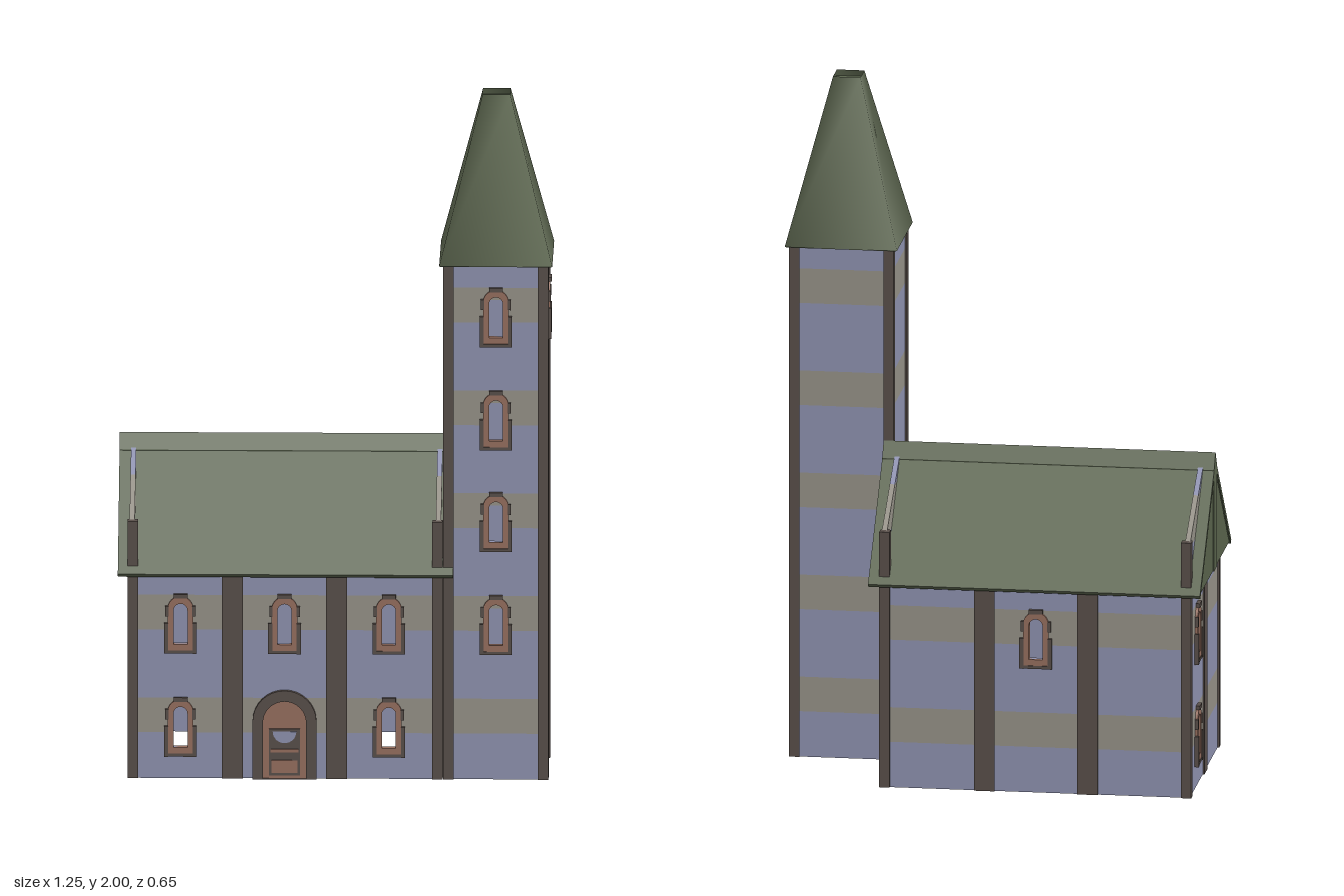
import * as THREE from 'three';

const mat = (name, color, side = THREE.FrontSide) => {
  const m = new THREE.MeshStandardMaterial({ color, side });
  m.name = name;
  return m;
};
const blue = mat('blue plaster', 0x9094b2);
const beige = mat('beige band', 0x98948a);
const green = mat('green roof', 0x5b654e, THREE.DoubleSide);
const brown = mat('dark brown stone', 0x5a504b);
const clay = mat('clay trim', 0x987060);

const THICK = 0.015;
const BANDS = [0, 1, 2, 3, 4].map(i => [0.135 + 0.304 * i, 0.238 + 0.304 * i]);
const inBand = y => BANDS.some(([a, b]) => y > a && y < b);

function add(parent, name, geo, material, x = 0, y = 0, z = 0) {
  const m = new THREE.Mesh(geo, material);
  m.name = name;
  m.position.set(x, y, z);
  parent.add(m);
  return m;
}

// box given by its minimum and maximum corners
function box(parent, name, material, x0, x1, y0, y1, z0, z1) {
  return add(parent, name, new THREE.BoxGeometry(x1 - x0, y1 - y0, z1 - z0), material,
    (x0 + x1) / 2, (y0 + y1) / 2, (z0 + z1) / 2);
}

// outline with straight sides and a round top
function arch(half, y0, y1, Type = THREE.Shape) {
  const s = new Type();
  s.moveTo(-half, y0);
  s.lineTo(half, y0);
  s.lineTo(half, y1 - half);
  s.absarc(0, y1 - half, half, 0, Math.PI, false);
  s.closePath();
  return s;
}

const extrude = (shape, depth) =>
  new THREE.ExtrudeGeometry(shape, { depth, bevelEnabled: false, curveSegments: 8 });

// [z, y] cross-section swept along x
function sweepX(parent, name, material, pts, x0, x1) {
  const shape = new THREE.Shape(pts.map(([z, y]) => new THREE.Vector2(-z, y)));
  const geo = extrude(shape, x1 - x0).rotateY(Math.PI / 2);
  return add(parent, name, geo, material, x0);
}

// arched window surround with open centre
function windowFrame(parent, x, y) {
  const g = new THREE.Group();
  g.name = 'window';
  g.position.set(x, y, 0);
  const ring = arch(0.037, -0.078, 0.083);
  ring.holes.push(arch(0.02, -0.058, 0.062, THREE.Path));
  add(g, 'windowSurround', extrude(ring, THICK + 0.008), clay, 0, 0, -THICK);
  for (const s of [-1, 1]) {
    box(g, 'windowJamb', brown, s * 0.041 - 0.006, s * 0.041 + 0.006, -0.085, 0.005, 0, 0.012);
    box(g, 'windowShoulder', brown, s * 0.039 - 0.005, s * 0.039 + 0.005, 0.025, 0.055, 0, 0.01);
  }
  box(g, 'windowSill', brown, -0.047, 0.047, -0.085, -0.076, 0, 0.01);
  box(g, 'keystone', brown, -0.02, 0.02, 0.078, 0.09, 0, 0.012);
  parent.add(g);
}

// banded wall: outer face on local z = 0, windows given as [x, y] centres
function wall(parent, name, width, height, windows, x, z, angle) {
  const g = new THREE.Group();
  g.name = name;
  g.position.set(x, 0, z);
  g.rotation.y = angle;
  const holes = windows.map(([wx, wy]) => ({ x0: wx - 0.021, x1: wx + 0.021, y0: wy - 0.058, y1: wy + 0.062 }));
  const ys = [...new Set([0, height, ...BANDS.flat(), ...holes.flatMap(h => [h.y0, h.y1])])]
    .filter(v => v <= height).sort((a, b) => a - b);
  for (let i = 0; i < ys.length - 1; i++) {
    const mid = (ys[i] + ys[i + 1]) / 2;
    const material = inBand(mid) ? beige : blue;
    let left = -width / 2;
    const cuts = holes.filter(h => mid > h.y0 && mid < h.y1).sort((a, b) => a.x0 - b.x0);
    for (const c of [...cuts, { x0: width / 2, x1: width / 2 }]) {
      box(g, 'wallCourse', material, left, c.x0, ys[i], ys[i + 1], -THICK, 0);
      left = c.x1;
    }
  }
  windows.forEach(([wx, wy]) => windowFrame(g, wx, wy));
  parent.add(g);
}

function buildNave() {
  const g = new THREE.Group();
  g.name = 'nave';
  const lo = 0.15, hi = 0.455, q = Math.PI / 2;
  wall(g, 'frontWall', 0.9, 0.61, [[-0.3, lo], [-0.3, hi], [0, hi], [0.3, lo], [0.3, hi]], -0.15, 0.298, 0);
  wall(g, 'backWall', 0.9, 0.61, [[0, hi]], -0.15, -0.298, Math.PI);
  wall(g, 'rightEndWall', 0.59, 0.75, [[-0.15, lo], [-0.15, hi]], -0.597, 0, -q);
  wall(g, 'leftEndWall', 0.59, 0.75, [], 0.3, 0, q);

  // gable parapets rising above the roof
  for (const x of [-0.597, 0.285]) {
    sweepX(g, 'gableBand', beige, [[-0.298, 0.75], [0.298, 0.75], [0.122, 0.855], [-0.122, 0.855]], x, x + THICK);
    sweepX(g, 'gableTop', blue, [[-0.122, 0.855], [0.122, 0.855], [0, 0.928]], x, x + THICK);
  }

  // corner posts and pilasters
  for (const x of [-0.602, 0.275])
    for (const z of [-0.304, 0.274])
      box(g, 'cornerPost', brown, x, x + 0.03, 0, 0.76, z, z + 0.03);
  for (const x of [-0.3, 0])
    for (const s of [-1, 1])
      box(g, 'pilaster', brown, x - 0.03, x + 0.03, 0, 0.61, s * 0.294 - 0.01, s * 0.294 + 0.01);
  for (const x of [-0.602, 0.285])
    box(g, 'endPilaster', brown, x, x + 0.02, 0, 0.61, -0.03, 0.03);

  // roof: two slabs, gable infill and ridge
  const x0 = -0.63, x1 = 0.335;
  for (const s of [-1, 1]) {
    const flip = pts => pts.map(([z, y]) => [s * z, y]);
    sweepX(g, 'roofSlope', green, flip([[0.028, 0.907], [0.323, 0.608], [0.313, 0.598], [0.018, 0.895]]), x0, x1);
    sweepX(g, 'gableInfill', green, flip([[0.02, 0.607], [0.3, 0.607], [0.02, 0.89]]), x0 + 0.003, x1 - 0.003);
  }
  sweepX(g, 'ridge', green, [[-0.03, 0.605], [0.03, 0.605], [0.03, 0.907], [0, 0.952], [-0.03, 0.907]], x0, x1);
  return g;
}

function buildDoor() {
  const g = new THREE.Group();
  g.name = 'door';
  g.position.set(-0.15, 0, 0.298);
  const ring = arch(0.092, 0, 0.262);
  ring.holes.push(arch(0.062, 0.001, 0.23, THREE.Path));
  add(g, 'doorArch', extrude(ring, 0.014), brown);
  add(g, 'doorLunette', extrude(arch(0.063, 0, 0.232), 0.004), clay);
  box(g, 'doorLeaf', brown, -0.045, 0.045, 0.06, 0.148, 0, 0.007);
  const half = new THREE.Shape();
  half.absarc(0, 0.14, 0.034, Math.PI, Math.PI * 2, false);
  add(g, 'doorPanel', extrude(half, 0.009), blue);
  box(g, 'doorLowerFrame', brown, -0.045, 0.045, 0.01, 0.06, 0, 0.006);
  box(g, 'doorLowerPanel', clay, -0.037, 0.037, 0.018, 0.055, 0, 0.009);
  box(g, 'doorRail', clay, -0.04, 0.04, 0.078, 0.088, 0, 0.009);
  return g;
}

function buildTower() {
  const g = new THREE.Group();
  g.name = 'tower';
  g.position.set(0.458, 0, 0.152);
  const r = 0.147, q = Math.PI / 2, top = 1.365;
  const column = [0.455, 0.76, 1.06, top].map(y => [0, y]);
  wall(g, 'towerFront', 0.294, 1.52, column, 0, r, 0);
  wall(g, 'towerLeft', 0.294, 1.52, [[0, top]], r, 0, q);
  wall(g, 'towerBack', 0.294, 1.52, [], 0, -r, Math.PI);
  wall(g, 'towerRight', 0.294, 1.52, [], -r, 0, -q);
  for (const sx of [-1, 1])
    for (const sz of [-1, 1])
      add(g, 'towerPost', new THREE.BoxGeometry(0.03, 1.52, 0.03), brown, sx * 0.137, 0.76, sz * 0.137);

  // spire with softly shaded corners and a sunken square tip
  const k = Math.SQRT2;
  const spire = new THREE.CylinderGeometry(0.04 * k, 0.163 * k, 0.48, 4, 1, true).rotateY(Math.PI / 4);
  add(g, 'spire', spire, green, 0, 1.76, 0);
  box(g, 'spireSoffit', green, -0.16, 0.16, 1.518, 1.524, -0.16, 0.16);
  box(g, 'spireTip', green, -0.041, 0.041, 1.975, 1.982, -0.041, 0.041);
  return g;
}

export function createModel() {
  const model = new THREE.Group();
  model.name = 'church';
  model.add(buildNave(), buildDoor(), buildTower());
  return model;
}
